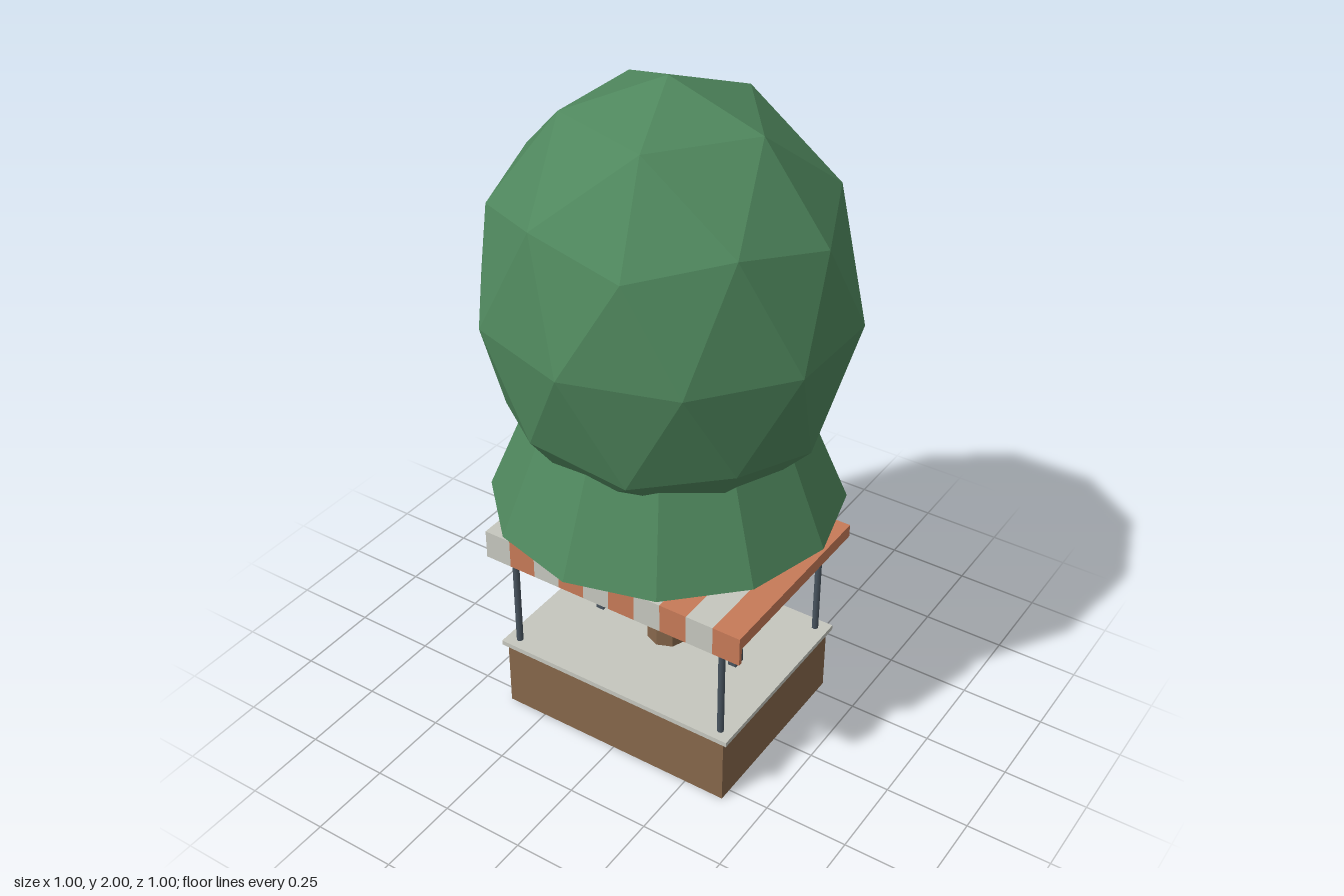
import * as THREE from 'three';

export function createModel() {
  const model = new THREE.Group();
  model.name = 'treeKiosk';

  const mat = (name, color, flatShading = false) => {
    const m = new THREE.MeshStandardMaterial({ color, flatShading });
    m.name = name;
    return m;
  };
  const leaf = mat('leaf green', 0x4f875d, true);
  const wood = mat('wood brown', 0x86674b, true);
  const pale = mat('pale grey', 0xc6c7be);
  const orange = mat('awning orange', 0xc77a58);
  const metal = mat('dark metal', 0x48545f);

  const add = (name, geometry, material, x, y, z, parent = model) => {
    const mesh = new THREE.Mesh(geometry, material);
    mesh.name = name;
    mesh.position.set(x, y, z);
    parent.add(mesh);
    return mesh;
  };
  // Box given by its centre in x and z, and its bottom and top heights
  const box = (name, material, w, d, y0, y1, x, z, parent) =>
    add(name, new THREE.BoxGeometry(w, y1 - y0, d), material, x, (y0 + y1) / 2, z, parent);

  // Base and counter slab
  box('base', wood, 0.75, 0.58, 0, 0.215, 0, 0);
  box('floorSlab', pale, 0.78, 0.6, 0.215, 0.23, 0, 0);

  // Trunk
  add('trunk', new THREE.CylinderGeometry(0.063, 0.063, 0.75, 8), wood, 0, 0.525, 0);

  // Flared lower foliage
  add('lowerFoliage', new THREE.CylinderGeometry(0.3, 0.5, 0.48, 12), leaf, 0, 1.0, 0);

  // Faceted crown, turned so a corner points straight up
  const crown = new THREE.IcosahedronGeometry(1, 1);
  crown.rotateZ(-Math.atan(2 / (1 + Math.sqrt(5))));
  crown.scale(0.5257, 0.62, 0.5);
  crown.computeVertexNormals();
  add('crown', crown, leaf, 0, 1.38, 0);

  // Striped awning with a front valance
  const awning = new THREE.Group();
  awning.name = 'awning';
  model.add(awning);
  const stripes = 10, stripeWidth = 0.085;
  for (let i = 0; i < stripes; i++) {
    const x = (i - (stripes - 1) / 2) * stripeWidth;
    const m = i % 2 ? orange : pale;
    box('roofStripe', m, stripeWidth, 0.6, 0.58, 0.62, x, 0, awning);
    box('valanceStripe', m, stripeWidth, 0.012, 0.53, 0.58, x, 0.294, awning);
  }

  // Awning posts
  for (const x of [-0.35, 0.35]) {
    for (const z of [-0.265, 0.265]) {
      add('awningPost', new THREE.CylinderGeometry(0.01, 0.01, 0.35, 8), metal, x, 0.405, z);
    }
  }

  // Railings on both sides of the trunk
  for (const side of [-1, 1]) {
    const rail = new THREE.Group();
    rail.name = side > 0 ? 'leftRailing' : 'rightRailing';
    model.add(rail);
    box('endPost', metal, 0.026, 0.04, 0.23, 0.375, side * 0.235, 0, rail);
    box('topRail', metal, 0.2, 0.04, 0.352, 0.375, side * 0.122, 0, rail);
    box('plank', pale, 0.2, 0.032, 0.276, 0.304, side * 0.149, 0, rail);
    for (const x of [0.09, 0.17]) {
      box('baluster', metal, 0.012, 0.012, 0.23, 0.352, side * x, 0, rail);
    }
  }

  return model;
}
